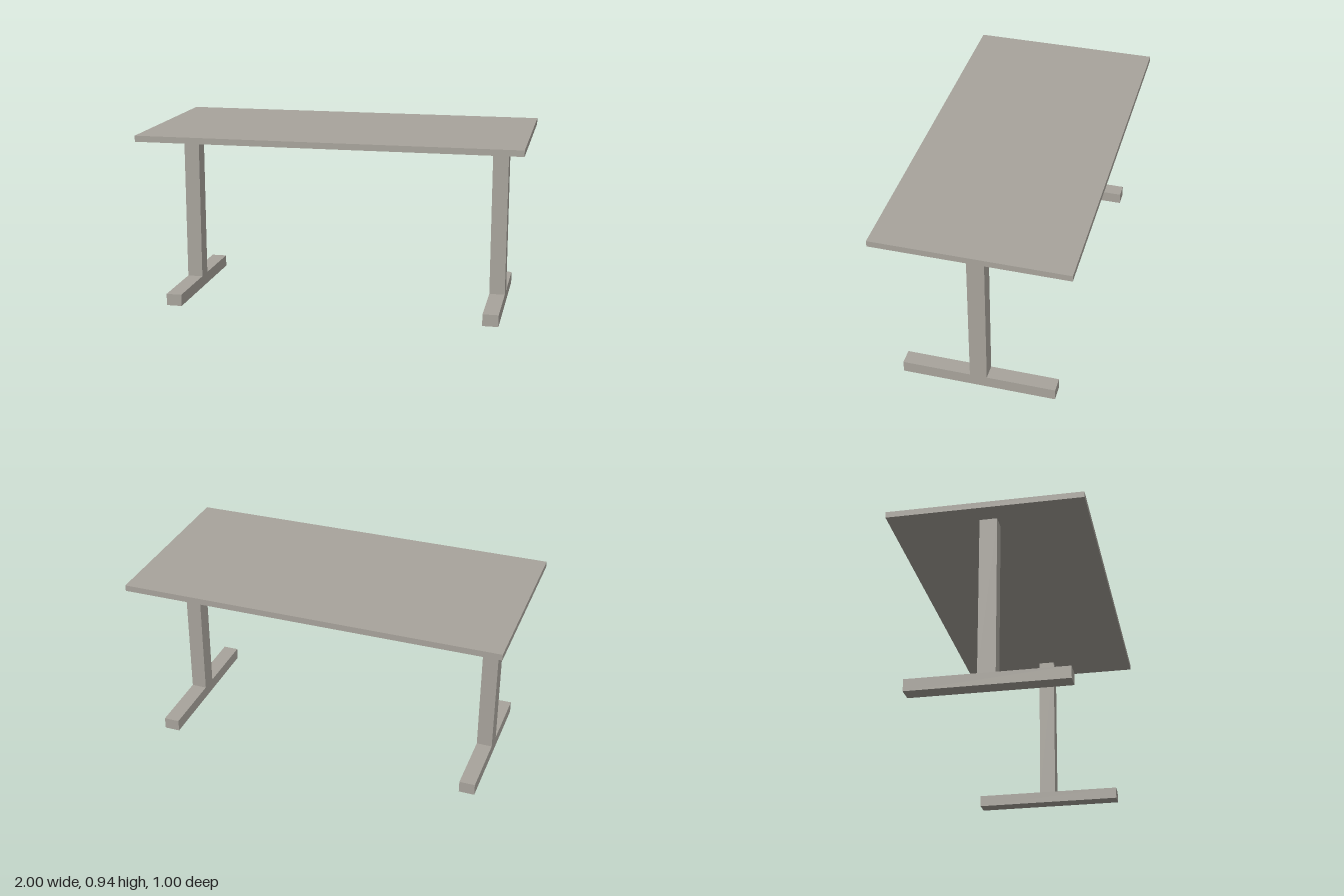
import * as THREE from 'three';

export function createModel() {
  const model = new THREE.Group();
  model.name = 'table';
  const warmGrey = new THREE.MeshStandardMaterial({ color: 0xa8a49c });
  warmGrey.name = 'warm grey';

  // Box given by its size, its bottom height and its x position
  const box = (name, w, h, d, bottom, x = 0) => {
    const mesh = new THREE.Mesh(new THREE.BoxGeometry(w, h, d), warmGrey);
    mesh.name = name;
    mesh.position.set(x, bottom + h / 2, 0);
    return mesh;
  };

  const legWidth = 0.083, footHeight = 0.063, topBottom = 0.906;

  // Flat table top
  model.add(box('tableTop', 2, 0.032, 1, topBottom));

  // T-shaped leg on each side: a long foot and an upright post
  for (const [side, s] of [['left', 1], ['right', -1]]) {
    const leg = new THREE.Group();
    leg.name = side + 'Leg';
    leg.position.x = s * 0.849;
    leg.add(
      box(side + 'Foot', legWidth, footHeight, 0.81, 0),
      box(side + 'Post', legWidth, topBottom - footHeight, 0.09, footHeight)
    );
    model.add(leg);
  }
  return model;
}
